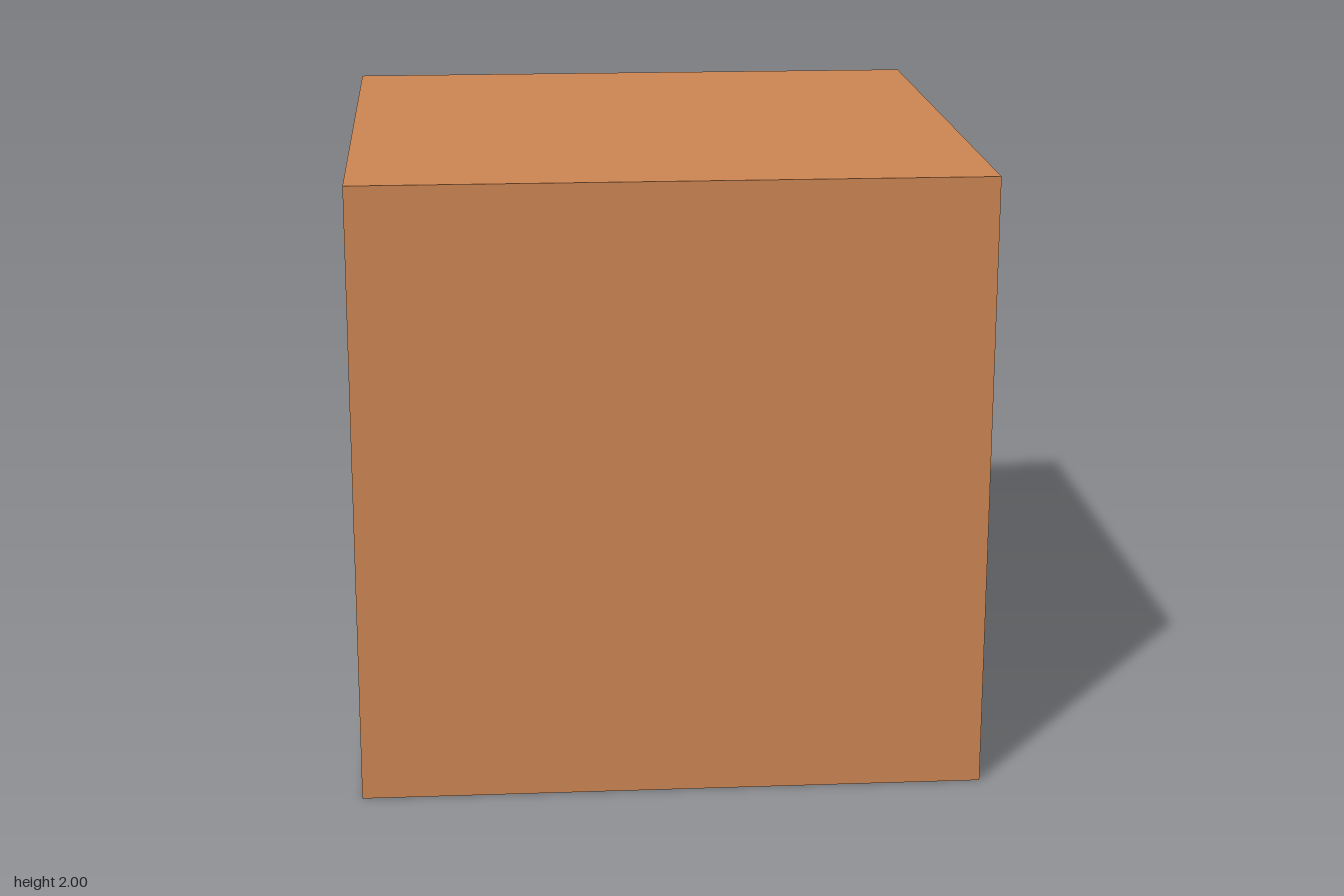
import * as THREE from 'three';

const STEPS = [-1, -0.5, 0.5, 1]; // grid lines of the recessed side
const FLOOR_X = -0.56;            // depth of the recess floor

// Non-indexed geometry from quads (corners anticlockwise, split a-b-d / b-c-d),
// with one flat normal per quad, taken from its diagonals.
function quadGeometry(quads) {
  const positions = [], normals = [];
  for (const [a, b, c, d] of quads) {
    const n = c.clone().sub(a).cross(d.clone().sub(b)).normalize();
    for (const p of [a, b, d, b, c, d]) {
      positions.push(p.x, p.y, p.z);
      normals.push(n.x, n.y, n.z);
    }
  }
  const geometry = new THREE.BufferGeometry();
  geometry.setAttribute('position', new THREE.Float32BufferAttribute(positions, 3));
  geometry.setAttribute('normal', new THREE.Float32BufferAttribute(normals, 3));
  return geometry;
}

export function createModel() {
  const group = new THREE.Group();
  group.name = 'recessedCube';
  const material = new THREE.MeshStandardMaterial({ color: 0xcd8552, side: THREE.DoubleSide });

  // Five plain outer sides
  const outer = [
    ['frontPanel', [0, 1, 1], [0, 0, 0]],
    ['backPanel', [0, 1, -1], [0, Math.PI, 0]],
    ['rightPanel', [-1, 1, 0], [0, -Math.PI / 2, 0]],
    ['topPanel', [0, 2, 0], [-Math.PI / 2, 0, 0]],
    ['bottomPanel', [0, 0, 0], [Math.PI / 2, 0, 0]],
  ];
  for (const [name, position, rotation] of outer) {
    const panel = new THREE.Mesh(new THREE.PlaneGeometry(2, 2), material);
    panel.name = name;
    panel.position.set(...position);
    panel.rotation.set(...rotation);
    group.add(panel);
  }

  // Left side: a 3 x 3 grid whose four middle points are pushed deep inside
  const inner = (i) => i === 1 || i === 2;
  const point = (i, j) =>
    new THREE.Vector3(inner(i) && inner(j) ? FLOOR_X : 1, STEPS[j] + 1, -STEPS[i]);
  const quads = [];
  for (let i = 0; i < 3; i++) {
    for (let j = 0; j < 3; j++) {
      const q = [point(i, j), point(i + 1, j), point(i + 1, j + 1), point(i, j + 1)];
      // Turn two corner cells so each one folds across its corner
      if ((i === 0 && j === 2) || (i === 2 && j === 0)) q.push(q.shift());
      quads.push(q);
    }
  }
  const recess = new THREE.Mesh(quadGeometry(quads), material);
  recess.name = 'recess';
  group.add(recess);

  return group;
}
